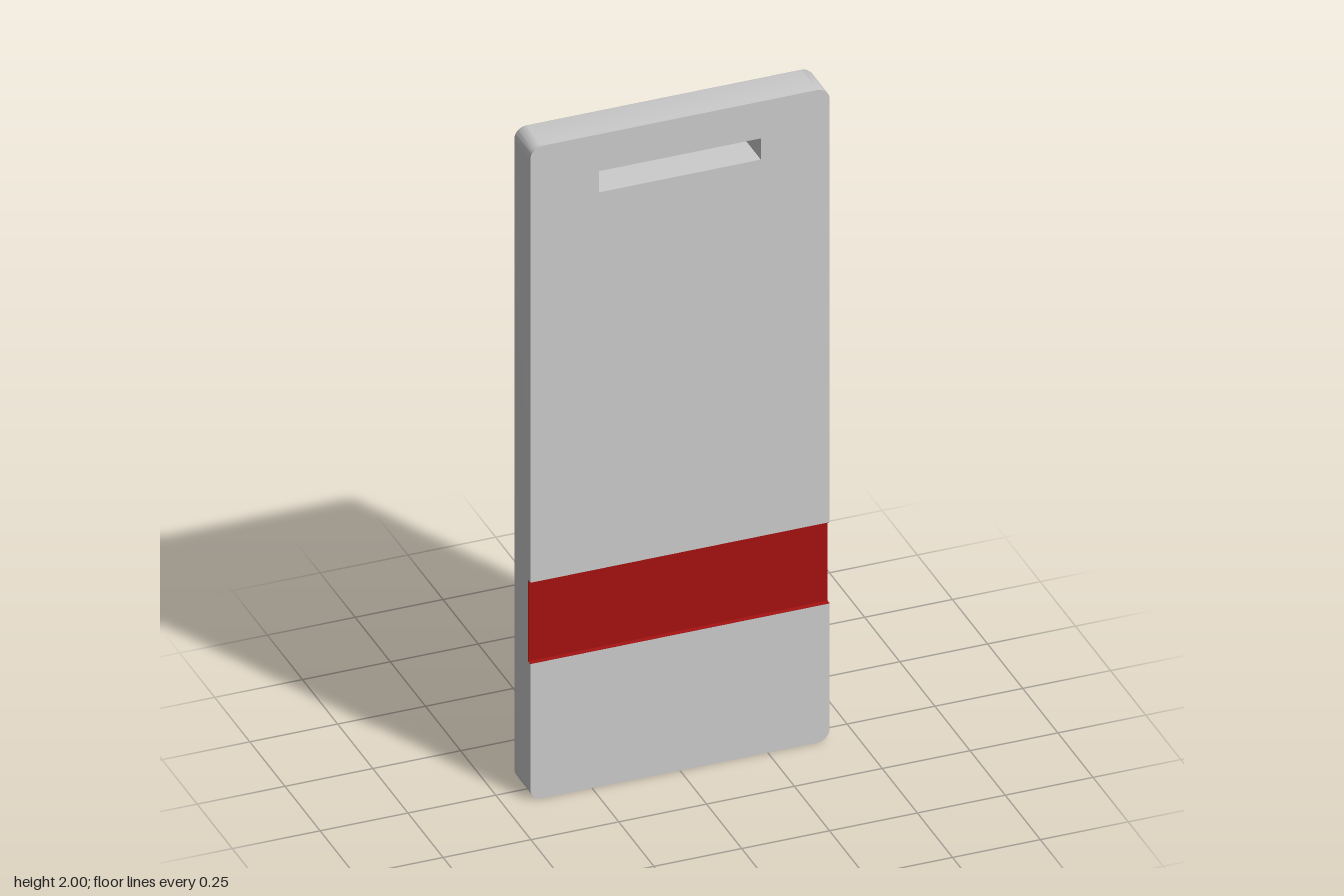
import * as THREE from 'three';
import { toCreasedNormals } from 'three/addons/utils/BufferGeometryUtils.js';

const W = 0.426, H = 2, BACK = -0.061, FRONT = 0.061;
const R = 0.035, EDGE = 0.01;                       // corner radius, rounded back edge
const GROOVE = { y0: 0.419, y1: 0.668, z: 0.046 };
const SLOT = { x: 0.23, y0: 1.822, y1: 1.887 };

// Counter-clockwise rectangle with its own radius for the bottom and top corners
function outline(halfW, y0, y1, rBottom = 0, rTop = 0) {
  const points = [];
  const corners = [[1, y0, rBottom], [1, y1, rTop], [-1, y1, rTop], [-1, y0, rBottom]];
  corners.forEach(([side, y, r], k) => {
    const cx = side * (halfW - r), cy = y === y0 ? y + r : y - r;
    const steps = r > 0 ? 8 : 0;
    for (let i = 0; i <= steps; i++) {
      const a = (k - 1 + (steps ? i / steps : 0)) * Math.PI / 2;
      points.push(new THREE.Vector2(cx + r * Math.cos(a), cy + r * Math.sin(a)));
    }
  });
  return points;
}

// Wall joining a stack of equal-length loops, each { points, z }
function loft(loops) {
  const n = loops[0].points.length, position = [], index = [];
  for (const { points, z } of loops) for (const p of points) position.push(p.x, p.y, z);
  for (let j = 0; j < loops.length - 1; j++) {
    for (let i = 0; i < n; i++) {
      const a = j * n + i, b = j * n + (i + 1) % n;
      index.push(a, b, b + n, a, b + n, a + n);
    }
  }
  const geometry = new THREE.BufferGeometry();
  geometry.setAttribute('position', new THREE.Float32BufferAttribute(position, 3));
  geometry.setIndex(index);
  return toCreasedNormals(geometry, 0.6);
}

function slottedShape(points) {
  const shape = new THREE.Shape(points);
  shape.holes.push(new THREE.Path(outline(SLOT.x, SLOT.y0, SLOT.y1)));
  return shape;
}

export function createModel() {
  const model = new THREE.Group();
  const grey = new THREE.MeshStandardMaterial({ color: 0xcccccc });
  const red = new THREE.MeshStandardMaterial({ color: 0xa61212 });
  const add = (name, geometry, material = grey) => {
    const mesh = new THREE.Mesh(geometry, material);
    mesh.name = name;
    model.add(mesh);
    return mesh;
  };

  // Outer side wall with the softly rounded back edge
  const loops = [];
  for (let i = 0; i <= 4; i++) {
    const a = i / 4 * Math.PI / 2;
    const inset = EDGE * (1 - Math.sin(a));
    loops.push({
      points: outline(W - inset, inset, H - inset, R - inset, R - inset),
      z: BACK + EDGE * (1 - Math.cos(a)),
    });
  }
  loops.push({ points: outline(W, 0, H, R, R), z: GROOVE.z });
  add('sideWall', loft(loops));

  // Flat back face, pierced by the slot
  const back = new THREE.ShapeGeometry(slottedShape(loops[0].points));
  add('backFace', back.rotateY(Math.PI).translate(0, 0, BACK));

  // Inner walls of the strap slot
  const slot = outline(SLOT.x, SLOT.y0, SLOT.y1).reverse();
  add('slotWall', loft([{ points: slot, z: BACK }, { points: slot, z: GROOVE.z }]));

  // Raised front panels above and below the groove
  const panel = (name, shape) => {
    const geometry = new THREE.ExtrudeGeometry(shape, { depth: FRONT - GROOVE.z, bevelEnabled: false });
    add(name, toCreasedNormals(geometry, 0.6).translate(0, 0, GROOVE.z));
  };
  panel('upperPanel', slottedShape(outline(W, GROOVE.y1, H, 0, R)));
  panel('lowerPanel', new THREE.Shape(outline(W, 0, GROOVE.y0, R, 0)));

  // Red groove lining: floor and the two thin ledges
  const t = 0.001, { y0, y1, z } = GROOVE;
  const lining = new THREE.Shape([
    [-z + t, y0], [-z, y0], [-z, y1], [-FRONT, y1],
    [-FRONT, y1 - t], [-z - t, y1 - t], [-z - t, y0 + t], [-FRONT, y0 + t], [-FRONT, y0], [-z, y0],
  ].slice(1, 9).concat([]).map(([x, y]) => new THREE.Vector2(x, y)));
  const band = new THREE.ExtrudeGeometry(lining, { depth: 2 * W, bevelEnabled: false });
  add('redBand', band.translate(0, 0, -W).rotateY(Math.PI / 2), red);

  return model;
}
